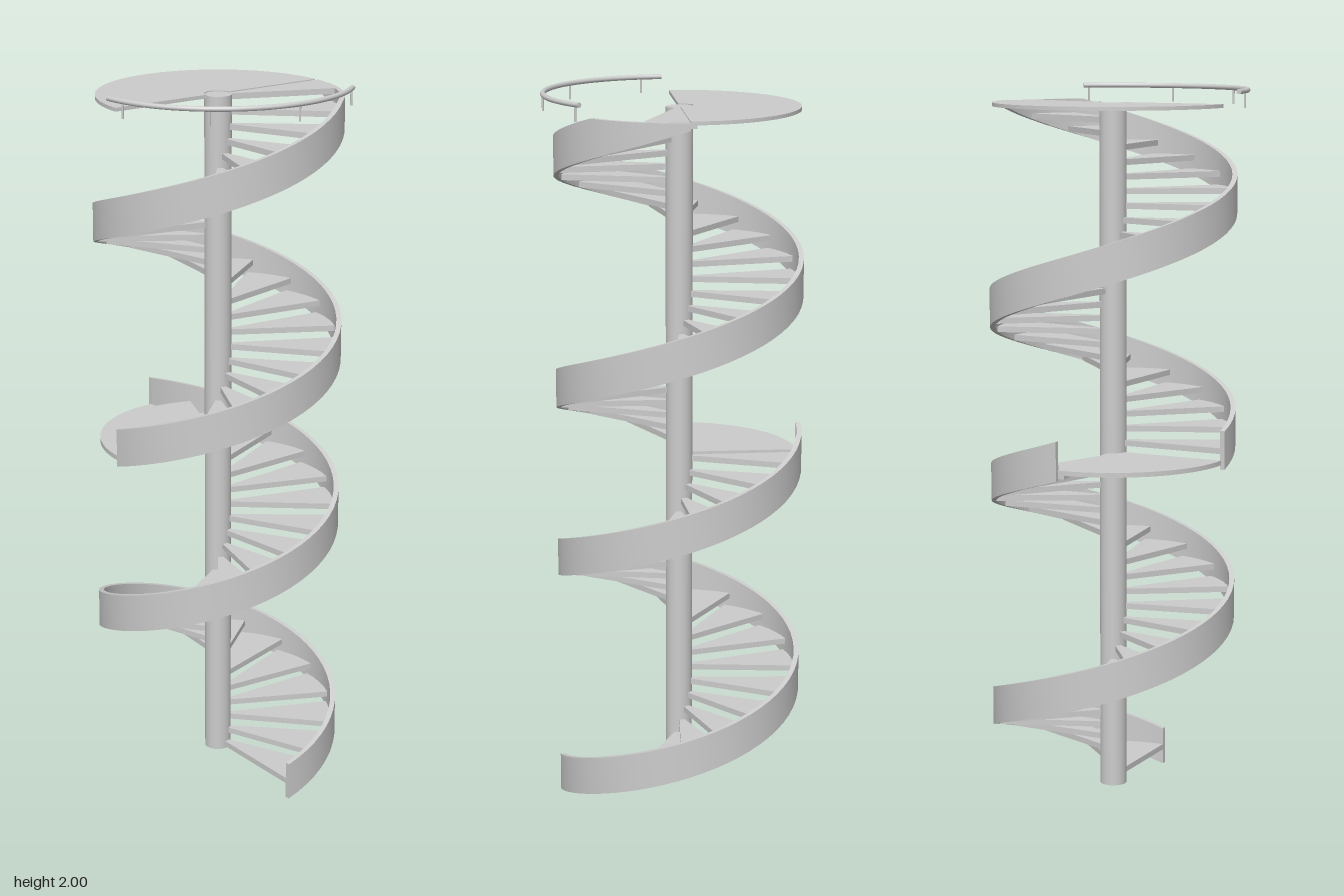
import * as THREE from 'three';
import { toCreasedNormals } from 'three/addons/utils/BufferGeometryUtils.js';

const DEG = Math.PI / 180;
const STEPS = 25;                 // treads per flight
const TURN = 540 / STEPS;         // degrees per tread
const FLIGHT = 0.967;             // climb of one flight
const TOP = 1.957;                // upper floor level
const R_IN = 0.326, R_OUT = 0.34; // faces of the outer stringer
const R_POLE = 0.037;

const material = new THREE.MeshStandardMaterial({ color: 0xcccccc });

function add(parent, name, geometry) {
  const mesh = new THREE.Mesh(geometry, material);
  mesh.name = name;
  parent.add(mesh);
  return mesh;
}

// Point on a circle around the pole; angles run from +x towards -z
const polar = (r, deg, y) =>
  new THREE.Vector3(r * Math.cos(deg * DEG), y, -r * Math.sin(deg * DEG));

// Flat ring sector between two angles, its base at y = 0
function sector(rIn, rOut, from, to, thickness, curveSegments) {
  const shape = new THREE.Shape();
  shape.absarc(0, 0, rOut, from * DEG, to * DEG, false);
  shape.absarc(0, 0, rIn, to * DEG, from * DEG, true);
  shape.closePath();
  const g = new THREE.ExtrudeGeometry(shape, { depth: thickness, bevelEnabled: false, curveSegments });
  g.rotateX(-Math.PI / 2);
  return toCreasedNormals(g, 0.5);
}

// Helical band with a rectangular cross-section, cut level with the upper floor
function helicalBand(startDeg, baseY, height) {
  const n = 90, positions = [], index = [];
  for (let i = 0; i <= n; i++) {
    const deg = startDeg + (540 * i) / n;
    const low = baseY + (FLIGHT * i) / n;
    const high = Math.min(low + height, TOP);
    for (const [r, y] of [[R_OUT, low], [R_OUT, high], [R_IN, high], [R_IN, low]]) {
      positions.push(...polar(r, deg, y).toArray());
    }
    if (i === n) break;
    for (let j = 0; j < 4; j++) {
      const a = i * 4 + j, b = i * 4 + ((j + 1) % 4);
      index.push(a, a + 4, b, b, a + 4, b + 4);
    }
  }
  const e = n * 4;
  index.push(0, 1, 2, 0, 2, 3, e, e + 2, e + 1, e, e + 3, e + 2);
  const g = new THREE.BufferGeometry();
  g.setAttribute('position', new THREE.Float32BufferAttribute(positions, 3));
  g.setIndex(index);
  return toCreasedNormals(g, 0.6);
}

// One flight: stringer and treads
function createFlight(name, startDeg, baseY) {
  const flight = new THREE.Group();
  flight.name = name;
  add(flight, 'stringer', helicalBand(startDeg, baseY, 0.107));
  const treadGeometry = sector(0.03, R_IN + 0.001, 0, TURN + 3, 0.016, 4);
  for (let k = 0; k < STEPS; k++) {
    const tread = add(flight, 'tread', treadGeometry);
    tread.rotation.y = (startDeg + k * TURN) * DEG;
    tread.position.y = baseY + 0.043 + (k * FLIGHT) / STEPS;
  }
  return flight;
}

// Curved handrail on short posts
function createHandrail() {
  const rail = new THREE.Group();
  rail.name = 'handrail';
  const r = 0.366, y = 1.993, points = [];
  for (let i = 0; i <= 16; i++) points.push(polar(r, -87 + (127 * i) / 16, y));
  const path = new THREE.CatmullRomCurve3(points);
  add(rail, 'railTube', new THREE.TubeGeometry(path, 48, 0.007, 12));
  for (const [at, side] of [[0, -1], [16, 1]]) {
    const cap = add(rail, 'railEnd', new THREE.CircleGeometry(0.007, 12));
    cap.position.copy(points[at]);
    cap.lookAt(points[at].clone().addScaledVector(path.getTangent(at / 16), side));
  }
  const postGeometry = new THREE.CylinderGeometry(0.003, 0.003, 0.045, 10);
  for (let i = 0; i < 4; i++) {
    add(rail, 'railPost', postGeometry).position.copy(polar(r, -78 + 38.5 * i, y - 0.0225));
  }
  return rail;
}

export function createModel() {
  const model = new THREE.Group();
  model.name = 'spiralStaircase';

  // Central pole
  const pole = add(model, 'pole', new THREE.CylinderGeometry(R_POLE, R_POLE, TOP - 0.037, 32));
  pole.position.y = (TOP + 0.037) / 2;

  model.add(createFlight('lowerFlight', 0, 0));
  model.add(createFlight('upperFlight', 270, 0.97));

  // Quarter landing between the flights, half landing at the top
  add(model, 'middleLanding', sector(R_POLE, 0.329, 180, 270, 0.013, 24)).position.y = 0.982;
  add(model, 'topLanding', sector(R_POLE, 0.329, 90, 270, 0.01, 48)).position.y = TOP - 0.007;

  model.add(createHandrail());

  // The pole stands off-centre so that stairs and rail together are centred
  for (const part of model.children) {
    part.position.x -= 0.016;
    part.position.z -= 0.018;
  }
  return model;
}
